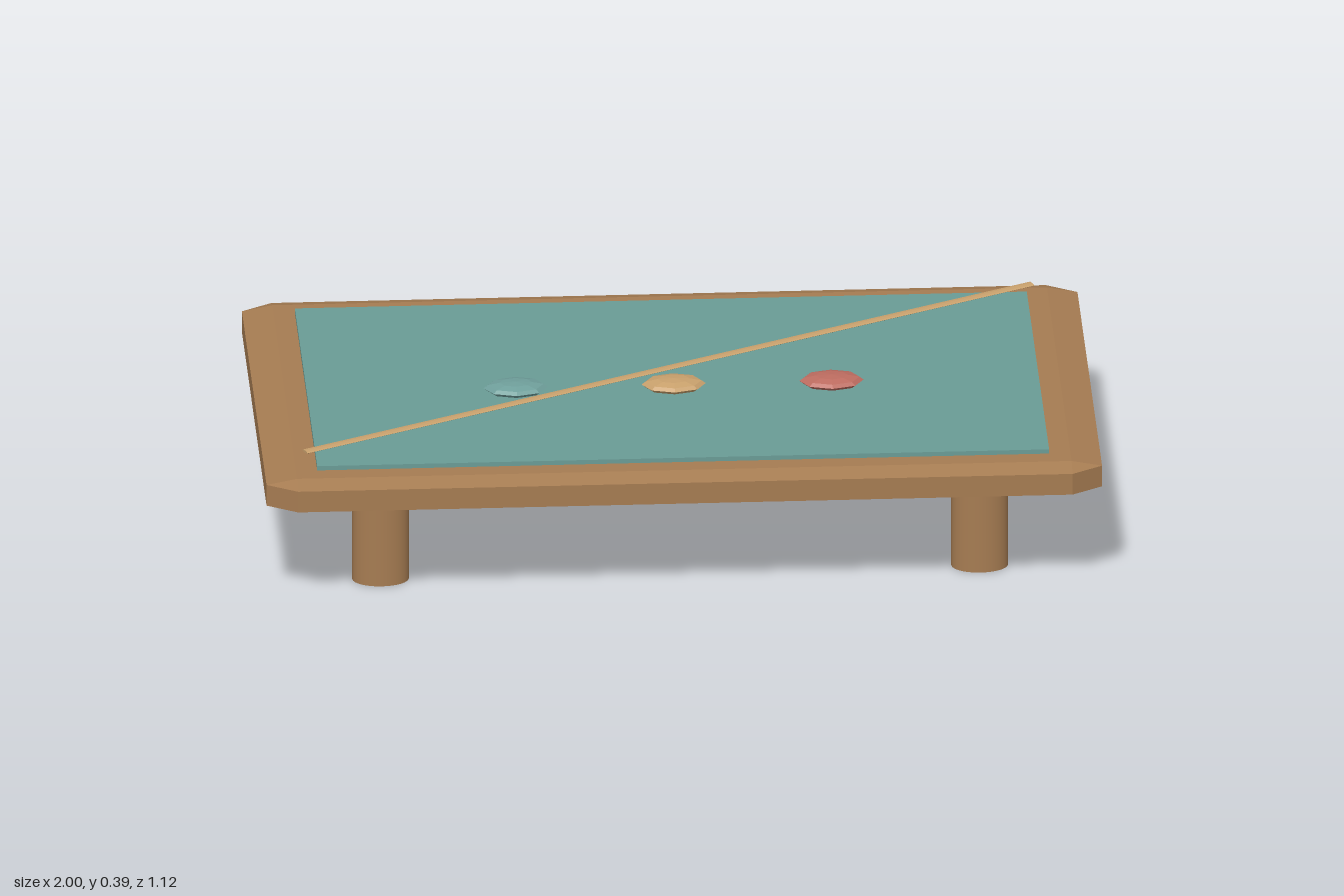
import * as THREE from 'three';
import { ConvexGeometry } from 'three/addons/geometries/ConvexGeometry.js';

function material(name, color, flatShading = false) {
  const m = new THREE.MeshStandardMaterial({ color, flatShading });
  m.name = name;
  return m;
}

export function createModel() {
  const group = new THREE.Group();
  const wood = material('wood', 0xa67c52);
  const felt = material('felt', 0x6a9c96);
  const tan = material('tan', 0xc8a06c, true);
  const teal = material('teal', 0x6f9f9b, true);
  const red = material('red', 0xbd6c60, true);

  function add(name, geometry, mat, x = 0, y = 0, z = 0) {
    const mesh = new THREE.Mesh(geometry, mat);
    mesh.name = name;
    mesh.position.set(x, y, z);
    group.add(mesh);
    return mesh;
  }

  // Table top: box with every edge and corner chamfered
  const corners = [];
  for (const sx of [-1, 1]) for (const sy of [-1, 1]) for (const sz of [-1, 1]) {
    corners.push(
      new THREE.Vector3(sx, sy * 0.027, sz * 0.515),
      new THREE.Vector3(sx * 0.927, sy * 0.027, sz * 0.56),
      new THREE.Vector3(sx * 0.927, sy * 0.041, sz * 0.515));
  }
  add('tableTop', new ConvexGeometry(corners), wood, 0, 0.302, 0);

  // Playing surface
  add('feltSurface', new THREE.BoxGeometry(1.752, 0.016, 0.936), felt, 0, 0.346, 0);

  // Oval legs
  const legGeometry = new THREE.CylinderGeometry(1, 1, 0.27, 32).scale(0.068, 1, 0.048);
  for (const sx of [-1, 1]) for (const sz of [-1, 1]) {
    add('leg', legGeometry, wood, sx * 0.717, 0.135, sz * 0.338);
  }

  // Flattened, faceted balls in a row
  const ballGeometry = new THREE.SphereGeometry(1, 8, 6).scale(0.077, 0.0155, 0.052);
  [teal, tan, red].forEach((mat, i) => {
    add('ball', ballGeometry, mat, (i - 1) * 0.378, 0.3715, 0.069);
  });

  // Cue lying diagonally across the table
  const start = new THREE.Vector3(-0.904, 0, 0.443);
  const end = new THREE.Vector3(0.887, 0, -0.45);
  const dir = end.clone().sub(start);
  const cueGeometry = new THREE.CylinderGeometry(0.0125, 0.0125, dir.length(), 8);
  cueGeometry.rotateZ(-Math.PI / 2).scale(1, 0.25, 1).rotateY(Math.atan2(-dir.z, dir.x));
  const mid = start.add(end).multiplyScalar(0.5);
  add('cue', cueGeometry, tan, mid.x, 0.382, mid.z);

  return group;
}
